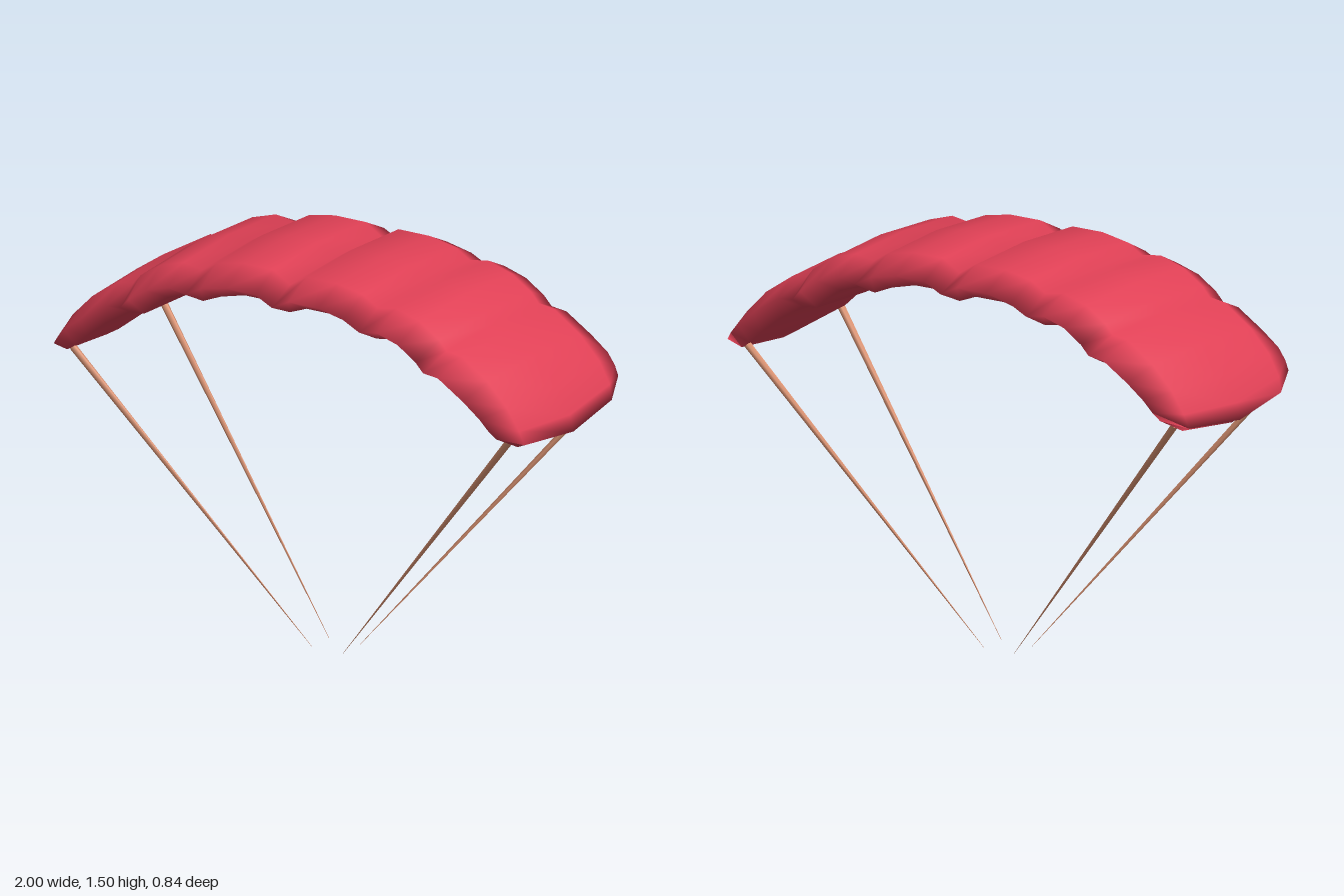
import * as THREE from 'three';

// Spanwise stations of one half: outer x, outer y, under x, under y
const HALF = [
  [0, 1.46, 0, 1.335], [0.07, 1.505, 0.07, 1.36], [0.2, 1.505, 0.19, 1.36],
  [0.31, 1.485, 0.29, 1.335], [0.37, 1.447, 0.365, 1.305], [0.45, 1.46, 0.43, 1.315],
  [0.55, 1.43, 0.51, 1.29], [0.635, 1.375, 0.575, 1.245], [0.665, 1.34, 0.61, 1.21],
  [0.73, 1.33, 0.67, 1.205], [0.84, 1.255, 0.77, 1.145], [0.93, 1.155, 0.86, 1.07],
  [0.985, 1.06, 0.915, 1.015], [1, 1.0, 0.965, 0.985],
];

// Chordwise pillow section: z, depth from outer skin (0) to underside (1)
const RING = [
  [0.42, 0.5], [0.3, 0.1], [0, 0], [-0.3, 0.1],
  [-0.42, 0.5], [-0.3, 0.92], [0, 1], [0.3, 0.92],
];

// Rounding of the wing tips, from the tip inwards: corner pull and chord scale
const TIP = [[0.085, 0.95], [0.07, 0.985], [0.035, 1]];

function canopyGeometry() {
  const mirrored = HALF.slice(1).reverse().map(([a, b, c, d]) => [-a, b, -c, d]);
  const stations = [...mirrored, ...HALF];
  const last = stations.length - 1;
  const n = RING.length;
  const pos = [];
  const idx = [];
  stations.forEach(([tx, ty, bx, by], i) => {
    const [pull, scale] = TIP[Math.min(i, last - i)] ?? [0, 1];
    for (const [z, t] of RING) {
      const lift = pull * Math.pow(Math.abs(z) / 0.42, 3);
      const x = tx + (bx - tx) * t;
      pos.push(x - Math.sign(x) * 0.6 * lift, ty + (by - ty) * t + lift, z * scale);
    }
  });
  // Skin
  for (let i = 0; i < last; i++) {
    for (let j = 0; j < n; j++) {
      const a = i * n + j, d = i * n + (j + 1) % n;
      idx.push(a, a + n, d + n, a, d + n, d);
    }
  }
  // End caps
  const end = last * n;
  for (let j = 1; j < n - 1; j++) {
    idx.push(0, j, j + 1);
    idx.push(end, end + j + 1, end + j);
  }
  const geo = new THREE.BufferGeometry();
  geo.setAttribute('position', new THREE.Float32BufferAttribute(pos, 3));
  geo.setIndex(idx);
  geo.computeVertexNormals();
  return geo;
}

// Thin cord tapering from the canopy down to the harness point
function taperedCord(top, bottom, material) {
  const dir = top.clone().sub(bottom);
  const mesh = new THREE.Mesh(new THREE.CylinderGeometry(0.014, 0.0005, dir.length(), 5), material);
  mesh.position.copy(top).add(bottom).multiplyScalar(0.5);
  mesh.quaternion.setFromUnitVectors(new THREE.Vector3(0, 1, 0), dir.normalize());
  return mesh;
}

export function createModel() {
  const group = new THREE.Group();
  group.name = 'parachute';

  const red = new THREE.MeshStandardMaterial({ color: 0xdf4055 });
  const tan = new THREE.MeshStandardMaterial({ color: 0xe59a78 });

  const canopy = new THREE.Mesh(canopyGeometry(), red);
  canopy.name = 'canopy';
  group.add(canopy);

  for (const sx of [1, -1]) {
    for (const sz of [1, -1]) {
      const cord = taperedCord(
        new THREE.Vector3(0.92 * sx, 1.035, 0.292 * sz),
        new THREE.Vector3(0.065 * sx, 0.001, 0.055 * sz), tan);
      cord.name = `${sz > 0 ? 'front' : 'back'}${sx > 0 ? 'Left' : 'Right'}Cord`;
      group.add(cord);
    }
  }
  return group;
}
